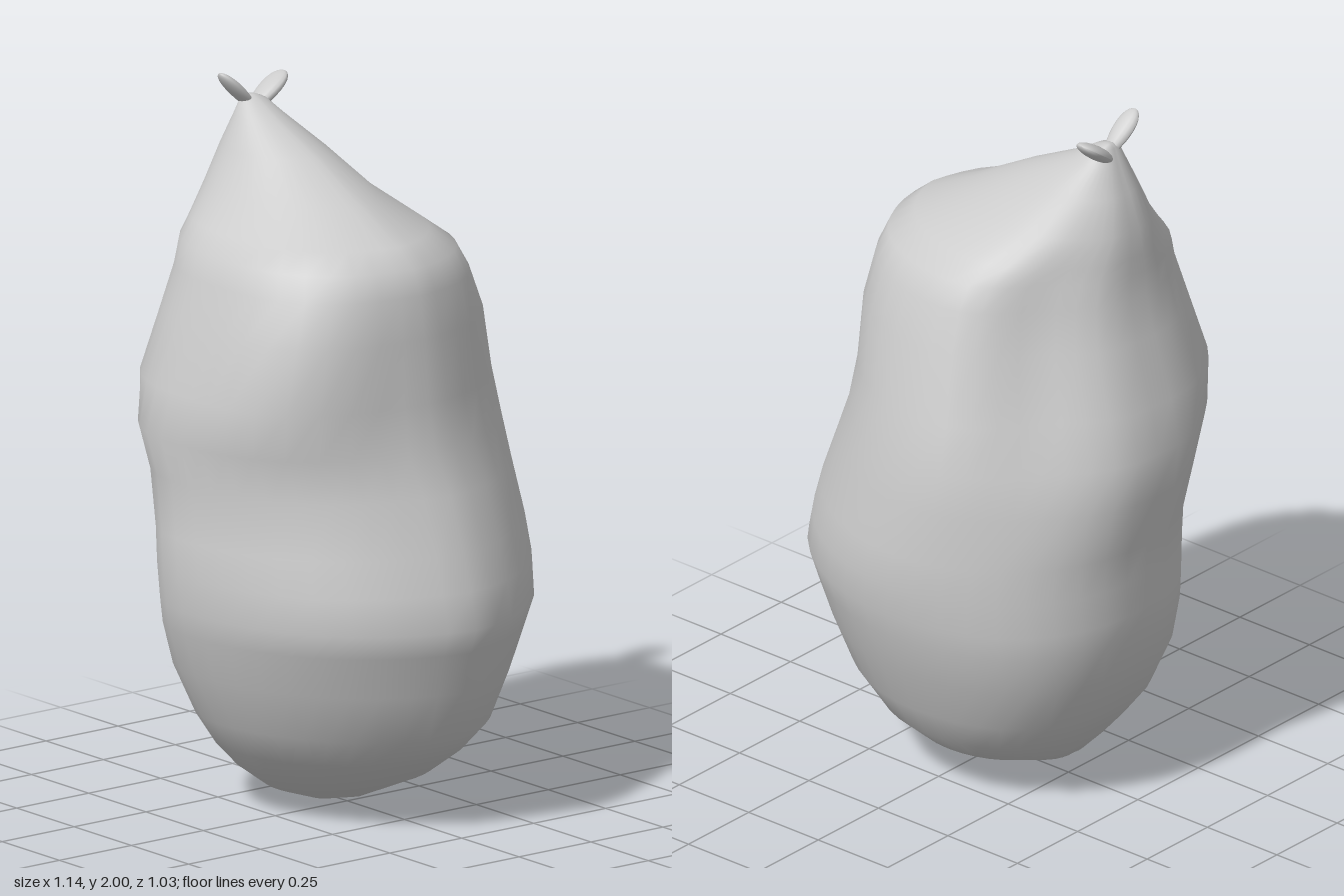
import * as THREE from 'three';

// Body rings: y, right-hand x (-x), left-hand x (+x), back z, front z
const RINGS = [
  [0.0, -0.12, -0.05, -0.01, 0.05],
  [0.04, -0.235, 0.10, -0.09, 0.165],
  [0.11, -0.305, 0.255, -0.27, 0.27],
  [0.18, -0.365, 0.355, -0.345, 0.34],
  [0.27, -0.435, 0.46, -0.39, 0.40],
  [0.41, -0.50, 0.51, -0.45, 0.46],
  [0.53, -0.525, 0.545, -0.487, 0.495],
  [0.60, -0.53, 0.57, -0.50, 0.51],
  [0.70, -0.53, 0.54, -0.515, 0.515],
  [0.80, -0.535, 0.51, -0.51, 0.51],
  [0.95, -0.565, 0.45, -0.495, 0.49],
  [1.07, -0.56, 0.41, -0.48, 0.517],
  [1.20, -0.53, 0.385, -0.445, 0.49],
  [1.38, -0.475, 0.37, -0.39, 0.44],
  [1.50, -0.45, 0.355, -0.345, 0.40],
  [1.57, -0.447, 0.33, -0.31, 0.376],
  [1.62, -0.443, 0.27, -0.25, 0.325],
  [1.70, -0.44, 0.11, -0.16, 0.24],
  [1.80, -0.41, -0.07, -0.08, 0.175],
  [1.88, -0.375, -0.235, -0.01, 0.125],
  [1.92, -0.36, -0.30, 0.025, 0.10],
  [1.93, -0.35, -0.33, 0.05, 0.075],
];
// Swelling of the four diagonals by height: y, (+x+z), (-x+z), (-x-z), (+x-z)
const SWELL = [
  [0.0, 0, 0, 0, 0],
  [0.27, 0, -0.09, 0.04, -0.02],
  [0.60, 0.04, -0.14, 0.02, 0],
  [0.80, 0.04, -0.14, -0.02, 0],
  [1.07, 0.09, -0.08, -0.12, 0.02],
  [1.20, 0.17, -0.01, -0.17, 0.03],
  [1.38, 0.19, 0, -0.20, 0.06],
  [1.57, 0.13, 0, -0.17, 0.04],
  [1.70, 0.04, 0, -0.06, -0.02],
  [1.95, 0, 0, 0, 0],
];
const SEGMENTS = 40;

// Skins closed rings of points, capping both ends with a centre point
function loft(rings) {
  const n = rings[0].length, positions = [], index = [];
  rings.forEach(r => r.forEach(p => positions.push(p.x, p.y, p.z)));
  for (let j = 0; j < rings.length - 1; j++) {
    for (let i = 0; i < n; i++) {
      const a = j * n + i, b = j * n + (i + 1) % n;
      index.push(a, a + n, b, b, a + n, b + n);
    }
  }
  [0, rings.length - 1].forEach(j => {
    const c = new THREE.Vector3();
    rings[j].forEach(p => c.addScaledVector(p, 1 / n));
    const centre = positions.length / 3;
    positions.push(c.x, c.y, c.z);
    for (let i = 0; i < n; i++) {
      const a = j * n + i, b = j * n + (i + 1) % n;
      if (j === 0) index.push(centre, a, b);
      else index.push(centre, b, a);
    }
  });
  const g = new THREE.BufferGeometry();
  g.setAttribute('position', new THREE.Float32BufferAttribute(positions, 3));
  g.setIndex(index);
  g.computeVertexNormals();
  return g;
}

// Diagonal swelling at height y, one value per quadrant
function swellAt(y) {
  const k = SWELL.findIndex(row => row[0] > y);
  const a = SWELL[k - 1], b = SWELL[k];
  const f = (y - a[0]) / (b[0] - a[0]);
  return a.slice(1).map((v, i) => THREE.MathUtils.lerp(v, b[i + 1], f));
}

// Ellipse with its front and back shifted sideways and its diagonals swollen
function bodyRing([y, x0, x1, z0, z1]) {
  const rx = (x1 - x0) / 2, rz = (z1 - z0) / 2;
  const swell = swellAt(y);
  return Array.from({ length: SEGMENTS }, (_, i) => {
    const t = i / SEGMENTS * Math.PI * 2;
    const c = Math.cos(t), s = Math.sin(t);
    const quadrant = Math.floor(4 * i / SEGMENTS);
    const r = 1 + swell[quadrant] * Math.sin(2 * t) ** 2;
    const shift = rx * (s > 0 ? -0.18 : 0.09) * s;
    return new THREE.Vector3((x0 + x1) / 2 + shift + rx * r * c, y, (z0 + z1) / 2 + rz * r * s);
  });
}

// Flattened tuft with a narrow root, reaching from one point to another
function tuft(name, from, to, width, thickness, material) {
  const a = new THREE.Vector3(...from), b = new THREE.Vector3(...to);
  const length = a.distanceTo(b);
  const g = new THREE.SphereGeometry(0.5, 16, 12);
  const p = g.attributes.position;
  for (let i = 0; i < p.count; i++) {
    const y = p.getY(i) + 0.5;
    const taper = 0.7 + 0.45 * y;
    p.setXYZ(i, p.getX(i) * width * taper, y * length, p.getZ(i) * thickness);
  }
  g.computeVertexNormals();
  const mesh = new THREE.Mesh(g, material);
  mesh.name = name;
  mesh.position.copy(a);
  mesh.quaternion.setFromUnitVectors(new THREE.Vector3(0, 1, 0), b.sub(a).normalize());
  return mesh;
}

export function createModel() {
  const group = new THREE.Group();
  group.name = 'tiedSack';
  const material = new THREE.MeshStandardMaterial({ color: 0xcccccc, roughness: 0.8 });

  // Sagging body, drawn up to a point on one side
  const body = new THREE.Mesh(loft(RINGS.map(bodyRing)), material);
  body.name = 'body';
  group.add(body);

  // Two small tufts splayed from the point
  group.add(tuft('frontTuft', [-0.335, 1.89, 0.055], [-0.352, 2.0, 0.163], 0.066, 0.035, material));
  group.add(tuft('backTuft', [-0.345, 1.88, 0.065], [-0.352, 1.972, -0.063], 0.085, 0.04, material));
  return group;
}
